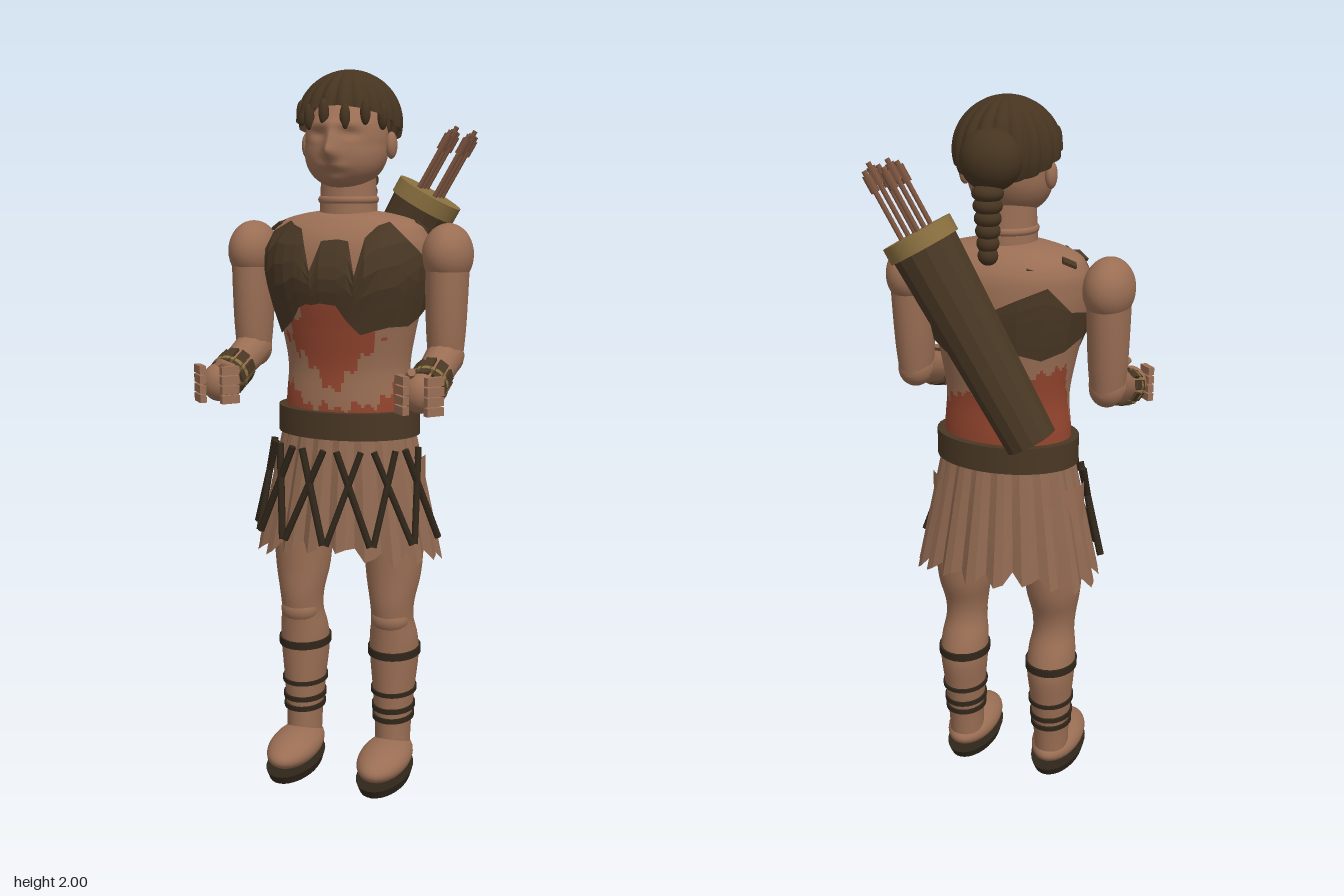
import * as THREE from 'three';

const mat = (name, color, side = THREE.FrontSide) => {
  const m = new THREE.MeshStandardMaterial({ color, side });
  m.name = name;
  return m;
};
const TAU = Math.PI * 2, rad = Math.PI / 180;
const gauss = (d, w) => Math.exp(-((d / w) ** 2));

export function createModel() {
  const skin = mat('skin', 0x9a6e54), leather = mat('leather', 0x493724, THREE.DoubleSide);
  const hairMat = mat('hair', 0x463420, THREE.DoubleSide), cloth = mat('skirt cloth', 0x8f6850, THREE.DoubleSide);
  const dark = mat('dark strap', 0x30261a), gold = mat('ochre', 0x8a7040);
  const red = mat('red paint', 0x94452e), wood = mat('arrow wood', 0x7c543f);
  const model = new THREE.Group();

  const add = (name, geo, m, pos = [0, 0, 0], scale = [1, 1, 1], parent = model) => {
    const mesh = new THREE.Mesh(geo, m);
    mesh.name = name;
    mesh.position.set(...pos);
    mesh.scale.set(...scale);
    parent.add(mesh);
    return mesh;
  };
  const flat = (geo) => {
    const g = geo.toNonIndexed();
    g.computeVertexNormals();
    return g;
  };
  const ball = (name, m, pos, r, parent = model) => add(name, new THREE.SphereGeometry(1, 28, 20), m, pos, r, parent);
  // closed surface around the y axis; pick(u, v) chooses a material slot per cell
  const surf = (fn, nu, nv, pick = () => 0) => {
    const pos = [], slots = [[], []];
    for (let j = 0; j <= nv; j++) for (let i = 0; i < nu; i++) pos.push(...fn(i / nu, j / nv));
    for (let j = 0; j < nv; j++) for (let i = 0; i < nu; i++) {
      const k = (i + 1) % nu, a = j * nu + i, b = j * nu + k, c = b + nu, d = a + nu;
      slots[pick((i + 0.5) / nu, (j + 0.5) / nv)].push(a, b, c, a, c, d);
    }
    const g = new THREE.BufferGeometry();
    g.setAttribute('position', new THREE.Float32BufferAttribute(pos, 3));
    g.setIndex([...slots[0], ...slots[1]]);
    g.addGroup(0, slots[0].length, 0);
    g.addGroup(slots[0].length, slots[1].length, 1);
    g.computeVertexNormals();
    return g;
  };
  // smooth profile from rows of [y, rx, rz, cz]
  const profile = (rows) => {
    const it = new THREE.CubicInterpolant(rows.map((r) => r[0]), rows.flatMap((r) => r.slice(1)), 3);
    return (t, y, off = 0) => {
      const [rx, rz, cz] = it.evaluate(y);
      return [Math.sin(t) * (Math.max(rx, 0) + off), y, cz + Math.cos(t) * (Math.max(rz, 0) + off)];
    };
  };
  const loft = (rows, nu, nv) => {
    const p = profile(rows), y0 = rows[0][0], y1 = rows[rows.length - 1][0];
    return surf((u, v) => p(u * TAU, y0 + (y1 - y0) * v), nu, nv);
  };
  const table = (rows, x, c = 1) => {
    const i = Math.max(1, rows.findIndex((r) => r[0] >= x)), a = rows[i - 1], b = rows[i];
    return a[c] + (b[c] - a[c]) * (x - a[0]) / (b[0] - a[0]);
  };
  const rod = (name, m, a, b, r0, r1 = r0, n = 8, parent = model) => {
    const A = new THREE.Vector3(...a), B = new THREE.Vector3(...b), d = B.clone().sub(A);
    const mesh = add(name, new THREE.CylinderGeometry(r1, r0, d.length(), n), m, A.clone().add(B).multiplyScalar(0.5).toArray(), [1, 1, 1], parent);
    mesh.quaternion.setFromUnitVectors(new THREE.Vector3(0, 1, 0), d.normalize());
    return mesh;
  };

  // Torso with red paint around the waist
  const body = profile([[1.03, 0.182, 0.128, -0.01], [1.1, 0.182, 0.128, -0.01], [1.2, 0.176, 0.126, -0.01],
    [1.3, 0.192, 0.14, -0.008], [1.4, 0.215, 0.156, -0.005], [1.5, 0.23, 0.158, -0.008],
    [1.56, 0.222, 0.143, -0.012], [1.6, 0.185, 0.11, -0.012], [1.62, 0.11, 0.08, -0.01], [1.635, 0, 0, -0.01]]);
  const redTop = [[-180, 1.2], [-150, 1.28], [-110, 1.3], [-95, 1.2], [-85, 1.14], [-60, 1.16], [-30, 1.1],
    [0, 1.09], [40, 1.11], [70, 1.17], [110, 1.17], [150, 1.22], [180, 1.2]];
  const painted = (u, v) => {
    const deg = u > 0.5 ? u * 360 - 360 : u * 360, y = 1.03 + v * 0.605;
    const x = 0.19 * Math.sin(deg * rad), wave = 0.01 * Math.sin(deg * 0.45) + 0.008 * Math.sin(deg * 0.23 + 60 * y);
    const blob = Math.abs(deg) < 80 && Math.abs(x + 0.01) / 0.135 + Math.abs(y - 1.285) / 0.15 < 1.05 + wave * 8;
    return blob || y < table(redTop, deg) + wave ? 1 : 0;
  };
  add('torso', surf((u, v) => body(u * TAU, 1.03 + v * 0.605), 120, 72, painted), [skin, red]);

  // Ragged chest armour: degrees, lower edge, upper edge
  const edge = [[-180, 1.4, 1.46], [-160, 1.35, 1.5], [-140, 1.33, 1.53], [-120, 1.35, 1.46], [-100, 1.38, 1.45],
    [-80, 1.4, 1.48], [-65, 1.36, 1.52], [-56, 1.29, 1.57], [-44, 1.31, 1.6], [-34, 1.33, 1.59], [-24, 1.37, 1.58],
    [-18, 1.38, 1.54], [-12, 1.38, 1.47], [-6, 1.385, 1.55], [5, 1.38, 1.555], [12, 1.34, 1.55], [17, 1.32, 1.46],
    [23, 1.3, 1.56], [33, 1.31, 1.59], [46, 1.32, 1.6], [56, 1.32, 1.55], [66, 1.32, 1.52], [80, 1.34, 1.48],
    [100, 1.36, 1.45], [120, 1.35, 1.46], [140, 1.33, 1.53], [160, 1.35, 1.5]];
  add('chestArmour', flat(surf((u, v) => {
    const [deg, lo, hi] = edge[Math.round(u * edge.length) % edge.length], y = lo + (hi - lo) * v;
    return body(deg * rad, y, 0.013 + 0.012 * gauss(y - 1.45, 0.06) * Math.max(0, Math.cos(deg * rad)));
  }, edge.length, 5)), leather);
  for (const [x, z, turn] of [[-0.19, -0.065, 0.4], [-0.19, 0.035, -0.4], [0.2, -0.02, 0.8], [-0.11, -0.115, 0.3], [0.15, -0.1, -0.2]]) {
    const scrap = add('shoulderScrap', new THREE.BoxGeometry(0.04, 0.008, 0.026), leather, [x, Math.abs(z) > 0.09 ? 1.575 : 1.585, z]);
    scrap.rotation.set(z * 5, turn, -x * 3);
  }
  add('neck', new THREE.CylinderGeometry(0.075, 0.082, 0.15, 32), skin, [0, 1.65, -0.005]);
  add('neckFold', new THREE.TorusGeometry(0.072, 0.012, 10, 32).rotateX(Math.PI / 2), skin, [0, 1.655, -0.005]);

  // Head: a sphere shaped into jaw, nose, brow and lips
  const headGeo = new THREE.SphereGeometry(1, 64, 56), hp = headGeo.attributes.position;
  for (let i = 0; i < hp.count; i++) {
    let x = hp.getX(i) * 0.112, z = hp.getZ(i) * 0.125 + 0.008;
    const y = 1.81 + hp.getY(i) * 0.125, jaw = Math.max(0, 1.8 - y), front = z > 0.03 ? 1 : 0;
    x *= 1 + jaw * 1.4;
    z += jaw * 0.28 * (z > 0 ? 1 : 0.3);
    z += front * (0.042 * gauss(x, 0.018) * gauss(y - 1.783, 0.024) + 0.02 * gauss(x, 0.014) * gauss(y - 1.82, 0.025)
      + 0.008 * gauss(x, 0.075) * gauss(y - 1.856, 0.013) - 0.012 * gauss(Math.abs(x) - 0.045, 0.025) * gauss(y - 1.828, 0.014)
      + 0.009 * gauss(x, 0.035) * gauss(y - 1.745, 0.011) + 0.008 * gauss(x, 0.03) * gauss(y - 1.708, 0.015));
    hp.setXYZ(i, x, y, z);
  }
  headGeo.computeVertexNormals();
  add('head', headGeo, skin);
  for (const s of [-1, 1]) ball('ear', skin, [s * 0.12, 1.8, -0.01], [0.016, 0.036, 0.023]);

  // Grooved hair, fringe curls, bun and braid
  add('hair', surf((u, v) => {
    const t = u * TAU, e0 = -0.12 + 0.42 * Math.cos(t), e = e0 + (Math.PI / 2 - e0) * v;
    const r = Math.cos(e) * (0.134 + 0.012 * Math.abs(Math.sin(t * 9)));
    return [Math.sin(t) * r, 1.86 + 0.14 * Math.sin(e), -0.013 + Math.cos(t) * r * 0.97];
  }, 144, 24), hairMat);
  [-62, -36, -12, 14, 38, 62].forEach((d, i) => ball('fringeCurl', hairMat,
    [0.13 * Math.sin(d * rad), 1.885 - (i % 2) * 0.012, -0.01 + 0.132 * Math.cos(d * rad)], [0.014, 0.034, 0.014]));
  ball('bun', hairMat, [0, 1.85, -0.135], [0.083, 0.08, 0.073]);
  for (let i = 0; i < 6; i++) ball('braid', hairMat, [0, 1.77 - i * 0.032, -0.16], [0.042 - i * 0.003, 0.026, 0.04 - i * 0.003]);

  // Belt and pleated skirt with a jagged hem
  add('belt', new THREE.CylinderGeometry(1, 1, 0.075, 40), leather, [0, 1.045, -0.01], [0.205, 1, 0.15]);
  const skirt = (t, y, off = 0) => {
    const k = (1.02 - y) / 0.34;
    return [Math.sin(t) * (0.19 + 0.07 * k + off), y, -0.008 + Math.cos(t) * (0.138 + 0.058 * k + off)];
  };
  const pleats = 20;
  add('skirt', flat(surf((u, v) => {
    const i = Math.round(u * pleats * 3), t = u * TAU, step = i % 3, k = Math.floor(i / 3);
    const hem = 0.695 + 0.018 * Math.cos(2 * t) + [0.02, -0.012, 0.0][step] - 0.022 * Math.abs(Math.sin(k * 2.3));
    return skirt(t, hem + (1.02 - hem) * v, [-0.008, 0.008, 0.006][step] * (1 - v * 0.6));
  }, pleats * 3, 3)), cloth);
  for (let k = -2.5; k <= 2.5; k++) for (const s of [-1, 1]) {
    const t = k * 28 * rad, w = 13 * rad * s;
    rod('skirtLattice', dark, skirt(t - w * 0.7, 0.98, 0.02), skirt(t + w, 0.725, 0.024), 0.01, 0.01, 6);
  }

  for (const s of [-1, 1]) {
    // Leg with straps, foot and sole
    const leg = new THREE.Group();
    leg.name = s > 0 ? 'leftLeg' : 'rightLeg';
    leg.position.x = s * 0.138;
    model.add(leg);
    const rows = [[0.06, 0.05, 0.06, 0], [0.14, 0.052, 0.064, -0.004], [0.25, 0.06, 0.074, -0.01], [0.36, 0.07, 0.083, -0.014],
      [0.42, 0.068, 0.076, -0.004], [0.47, 0.06, 0.069, 0.008], [0.52, 0.063, 0.072, 0.012], [0.6, 0.078, 0.084, 0], [0.7, 0.085, 0.09, -0.004], [0.95, 0.085, 0.092, -0.008]];
    add('legShape', loft(rows, 32, 44), skin, [0, 0, 0], [1, 1, 1], leg);
    ball('kneecap', skin, [0, 0.475, 0.03], [0.056, 0.045, 0.052], leg);
    for (const [y, h] of [[0.37, 0.022], [0.25, 0.012], [0.2, 0.014], [0.17, 0.014]])
      add('legStrap', new THREE.CylinderGeometry(1, 1, h, 28), dark, [0, y, table(rows, y, 3)],
        [table(rows, y) + 0.006, 1, table(rows, y, 2) + 0.006], leg);
    ball('foot', skin, [0, 0.066, 0.073], [0.073, 0.048, 0.145], leg);
    add('sole', new THREE.CylinderGeometry(1, 0.9, 0.026, 32), dark, [0, 0.013, 0.073], [0.074, 1, 0.15], leg);

    // Arm: shoulder, upper arm, bent forearm
    const arm = new THREE.Group();
    arm.name = s > 0 ? 'leftArm' : 'rightArm';
    arm.position.x = s * 0.283;
    model.add(arm);
    ball('shoulder', skin, [0, 1.51, -0.005], [0.069, 0.085, 0.094], arm);
    add('upperArm', loft([[1.22, 0.046, 0.056, 0.005], [1.3, 0.053, 0.067, 0.003], [1.4, 0.057, 0.076, 0],
      [1.52, 0.06, 0.082, -0.004]], 28, 16), skin, [0, 0, 0], [1, 1, 1], arm);
    ball('elbow', skin, [0, 1.235, 0.004], [0.05, 0.055, 0.057], arm);
    rod('forearm', skin, [0, 1.24, 0], [0, 1.17, 0.225], 0.053, 0.042, 12, arm);

    // Bracer of strips held by an ochre band
    const bracer = new THREE.Group();
    bracer.name = 'bracer';
    bracer.position.set(0, 1.24, 0);
    bracer.rotation.x = Math.atan2(0.07, 0.225);
    arm.add(bracer);
    for (let i = 0; i < 9; i++) {
      const a = (i / 9) * TAU;
      add('bracerStrip', new THREE.BoxGeometry(0.027, 0.008, 0.09), leather,
        [Math.sin(a) * 0.05, Math.cos(a) * 0.05, 0.18], [1, 1, 1], bracer).rotation.z = -a;
    }
    add('bracerBand', new THREE.CylinderGeometry(0.056, 0.056, 0.014, 18).rotateX(Math.PI / 2), gold, [0, 0, 0.195], [1, 1, 1], bracer);

    // Fist with four stacked fingers and a thumb
    ball('palm', skin, [0, 1.172, 0.25], [0.048, 0.052, 0.046], arm);
    for (let i = 0; i < 4; i++) for (const q of [-1, 1])
      add('finger', new THREE.BoxGeometry(0.018, 0.022, 0.05), skin, [q * 0.043, 1.132 + i * 0.026, 0.279], [1, 1, 1], arm).rotation.y = -q * 0.75;
    rod('thumb', skin, [-s * 0.035, 1.21, 0.24], [-s * 0.015, 1.232, 0.285], 0.013, 0.011, 8, arm);
  }

  // Quiver slung across the back with six arrows
  const low = new THREE.Vector3(-0.13, 1.125, -0.185), top = new THREE.Vector3(0.175, 1.67, -0.215);
  const quiver = new THREE.Group();
  quiver.name = 'quiver';
  quiver.position.copy(low);
  quiver.quaternion.setFromUnitVectors(new THREE.Vector3(0, 1, 0), top.clone().sub(low).normalize());
  model.add(quiver);
  const len = top.distanceTo(low);
  add('quiverTube', flat(new THREE.CylinderGeometry(0.092, 0.072, len - 0.03, 14)), leather, [0, len / 2 - 0.015, 0], [1, 1, 1], quiver);
  add('quiverRim', new THREE.CylinderGeometry(0.098, 0.098, 0.045, 24), gold, [0, len - 0.022, 0], [1, 1, 1], quiver);
  for (const z of [-0.042, 0, 0.042]) for (const x of [-0.026, 0.026]) {
    const tip = len + 0.195 + (z === 0 ? 0.015 : 0) - (x > 0 ? 0 : 0.015);
    rod('arrowShaft', wood, [x, len - 0.03, z], [x, tip, z], 0.007, 0.007, 8, quiver);
    rod('arrowFletching', wood, [x, tip - 0.06, z], [x, tip - 0.012, z], 0.012, 0.012, 6, quiver);
  }
  return model;
}
